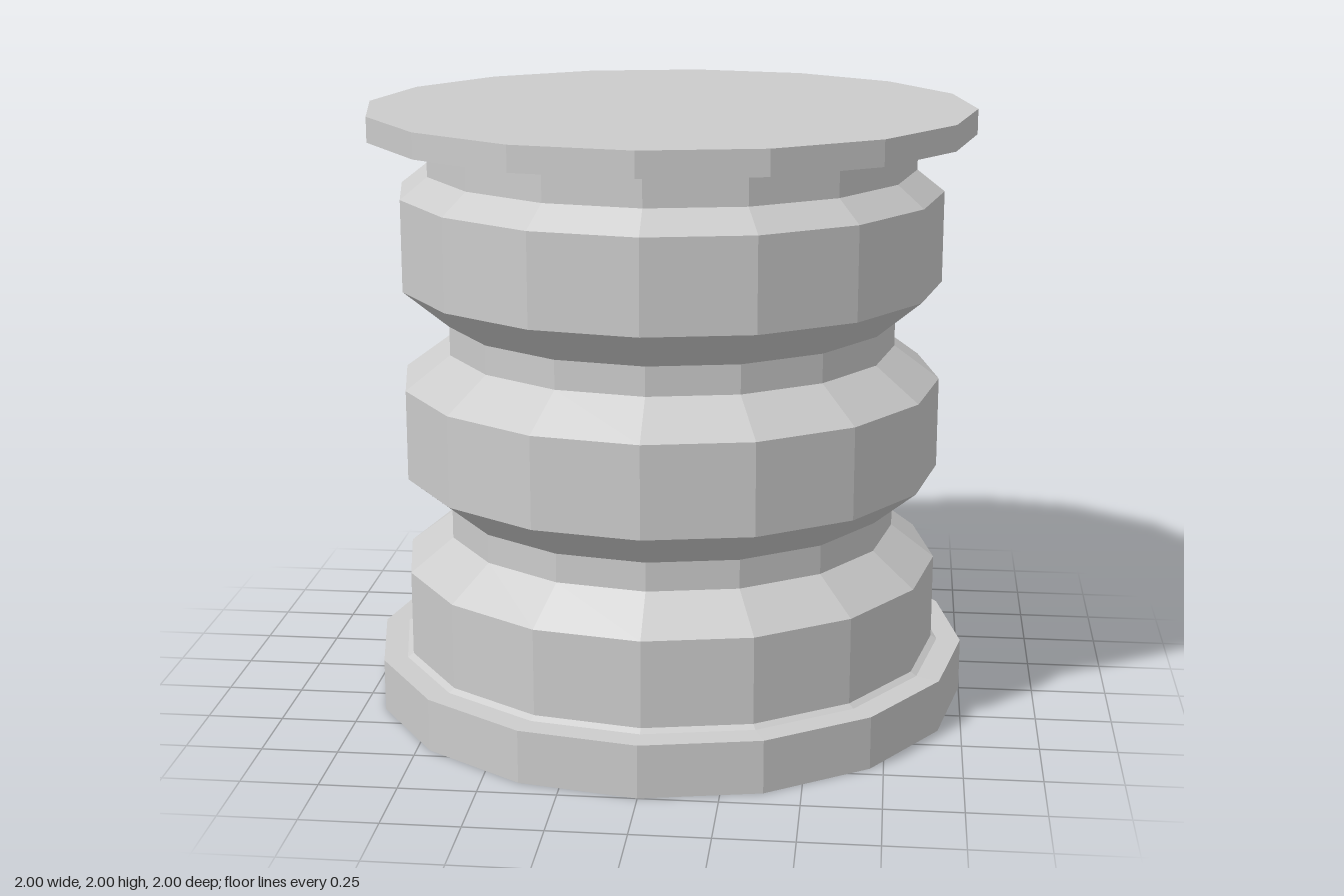
import * as THREE from 'three';

const SIDES = 16;

export function createModel() {
  const group = new THREE.Group();
  const material = new THREE.MeshStandardMaterial({ color: 0xcccccc, flatShading: true });

  // Turns a bottom-to-top profile of [radius, height] into a faceted ring.
  const turned = (name, profile) => {
    const points = profile.map(([r, y]) => new THREE.Vector2(r, y));
    const mesh = new THREE.Mesh(new THREE.LatheGeometry(points, SIDES), material);
    mesh.name = name;
    group.add(mesh);
  };

  // Wide foot, closed underneath
  turned('base', [[0, 0], [1, 0], [1, 0.175], [0.92, 0.178], [0.9, 0.19]]);

  // Three straight-sided bulges
  turned('lowerDrum', [[0.9, 0.19], [0.9, 0.475]]);
  turned('middleDrum', [[0.9, 0.8], [0.9, 1.1]]);
  turned('upperDrum', [[0.9, 1.43], [0.9, 1.73]]);

  // Chamfered grooves between the bulges
  turned('lowerGroove', [[0.9, 0.475], [0.755, 0.585], [0.755, 0.68], [0.9, 0.8]]);
  turned('upperGroove', [[0.9, 1.1], [0.75, 1.21], [0.75, 1.305], [0.9, 1.43]]);

  // Neck under the cap
  turned('neck', [[0.9, 1.73], [0.81, 1.8], [0.81, 1.89]]);

  // Thin overhanging cap, closed on top
  turned('cap', [[0.81, 1.89], [0.92, 1.915], [1, 1.918], [1, 2], [0, 2]]);

  return group;
}
